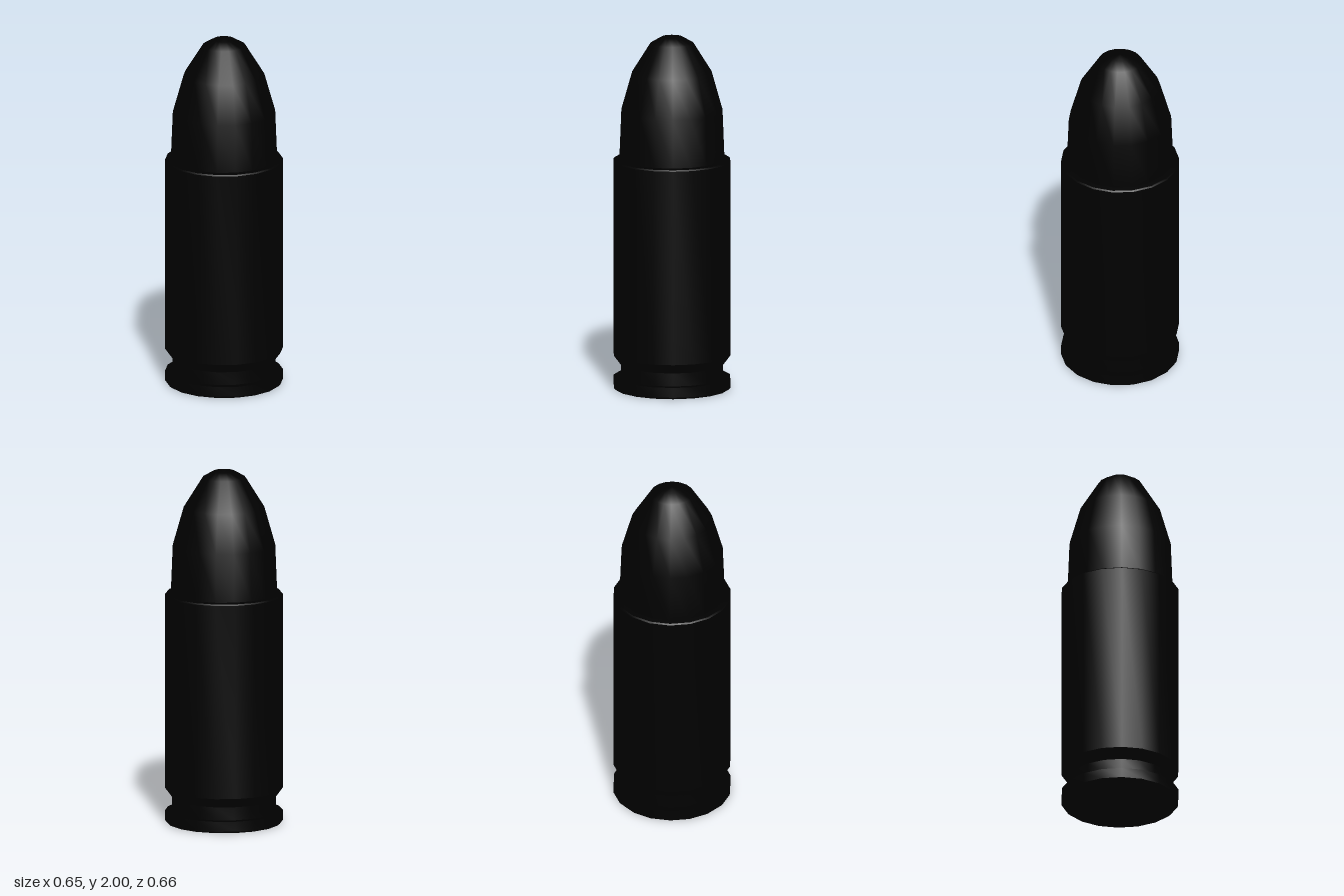
import * as THREE from 'three';
import { toCreasedNormals } from 'three/addons/utils/BufferGeometryUtils.js';

const SIDES = 18;

export function createModel() {
  const group = new THREE.Group();
  group.name = 'cartridge';

  const black = new THREE.MeshStandardMaterial({ color: 0x000000 });
  black.name = 'black';

  // Revolves a [radius, height] profile, keeping the sharp ledges crisp
  const addTurned = (name, profile) => {
    const points = profile.map(([r, y]) => new THREE.Vector2(r, y));
    const geometry = toCreasedNormals(new THREE.LatheGeometry(points, SIDES), 0.6);
    const mesh = new THREE.Mesh(geometry, black);
    mesh.name = name;
    group.add(mesh);
  };

  // Base disc with its rim and the narrow extractor groove
  addTurned('rim', [[0, 0], [0.318, 0], [0.328, 0.01], [0.328, 0.066], [0.288, 0.066]]);
  addTurned('extractorGroove', [[0.288, 0.066], [0.288, 0.14], [0.329, 0.195]]);

  // Straight case with a flat mouth
  addTurned('case', [[0.329, 0.195], [0.329, 1.293], [0.322, 1.3], [0.294, 1.305]]);

  // Rounded nose
  addTurned('nose', [
    [0.296, 1.3], [0.285, 1.575], [0.224, 1.79], [0.12, 1.957], [0.06, 1.992], [0, 2],
  ]);

  return group;
}
